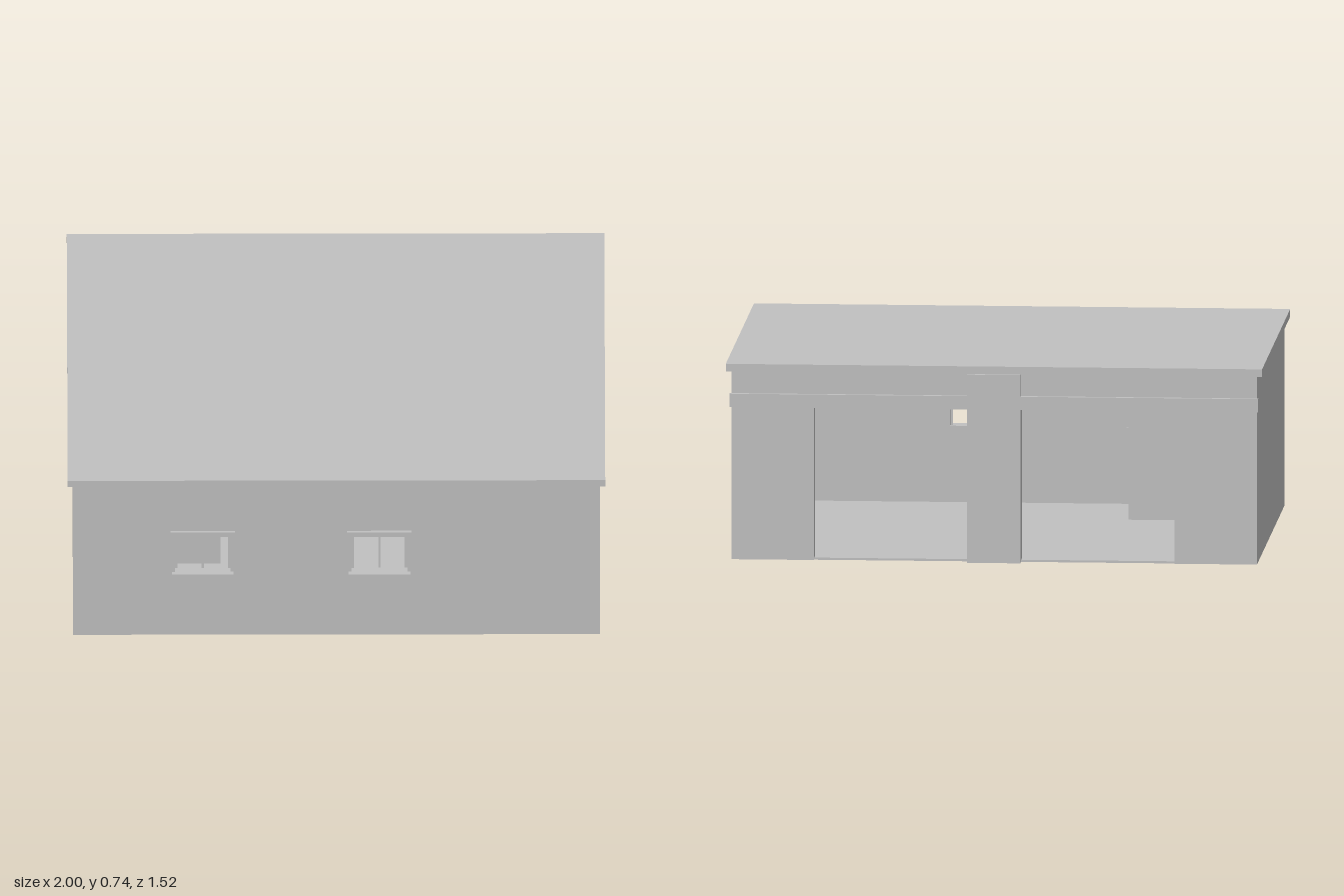
import * as THREE from 'three';

const concrete = new THREE.MeshStandardMaterial({ color: 0xc0c0c0 });
concrete.name = 'plain concrete';

const W = 0.98, FRONT = 0.745, BACK = -0.73, T = 0.05, H = 0.708;

// Box given by its extents along each axis
function box(parent, name, [x0, x1], [y0, y1], [z0, z1]) {
  const mesh = new THREE.Mesh(new THREE.BoxGeometry(x1 - x0, y1 - y0, z1 - z0), concrete);
  mesh.position.set((x0 + x1) / 2, (y0 + y1) / 2, (z0 + z1) / 2);
  mesh.name = name;
  parent.add(mesh);
  return mesh;
}

// Flat wall with rectangular openings, each [a0, a1, y0, y1]
function wall(parent, name, a0, a1, openings) {
  const rect = (C, l, r, b, t) => {
    const p = new C();
    p.moveTo(l, b); p.lineTo(r, b); p.lineTo(r, t); p.lineTo(l, t); p.closePath();
    return p;
  };
  const shape = rect(THREE.Shape, a0, a1, 0, H);
  openings.forEach(o => shape.holes.push(rect(THREE.Path, ...o)));
  const mesh = new THREE.Mesh(
    new THREE.ExtrudeGeometry(shape, { depth: T, bevelEnabled: false }), concrete);
  mesh.name = name;
  parent.add(mesh);
  return mesh;
}

export function createModel() {
  const group = new THREE.Group();
  group.name = 'garage';

  // Floor and overhanging roof slab
  box(group, 'floor', [-W + 0.002, W - 0.002], [0, 0.008], [BACK + 0.008, FRONT - 0.002]);
  box(group, 'roof', [-1, 1], [H, 0.737], [-0.745, 0.765]);

  // Walls
  const windows = [-0.4975, 0.16], halfW = 0.104, sillY = 0.295, headY = 0.465;
  wall(group, 'frontWall', -W, W,
    windows.map(x => [x - halfW, x + halfW, sillY, headY])).position.z = FRONT - T;
  const right = wall(group, 'rightWall', BACK + T, FRONT - T, [[-0.5, -0.3, 0.008, 0.372]]);
  right.rotation.y = -Math.PI / 2;
  right.position.x = -W + T;
  right.name = 'rightSideWall';
  right.position.x = W;
  const left = wall(group, 'leftWall', BACK + T, FRONT - T, []);
  left.rotation.y = -Math.PI / 2;
  left.position.x = -W + T;

  // Back: corner piers, lintel, projecting band and central pillar
  for (const s of [-1, 1]) {
    const span = (a, b) => (s > 0 ? [a, b] : [-b, -a]);
    box(group, 'cornerPier', span(0.672, W), [0, 0.575], [BACK, BACK + T]);
    box(group, 'lintel', span(0.1, W), [0.575, H], [BACK, BACK + T]);
    box(group, 'band', span(0.1, 0.986), [0.575, 0.625], [-0.747, BACK]);
  }
  box(group, 'centralPillar', [-0.1, 0.1], [0, H], [-0.76, BACK + T]);

  // Windows: head, sill, thin frame and mullion
  for (const x of windows) {
    const win = new THREE.Group();
    win.name = 'window';
    win.position.x = x;
    group.add(win);
    box(win, 'windowHead', [-0.12, 0.12], [headY, 0.486], [FRONT - T, 0.755]);
    box(win, 'windowSill', [-0.115, 0.115], [0.283, sillY], [FRONT - T, 0.763]);
    const z = [0.71, 0.722];
    for (const s of [-1, 1]) {
      const c = s * (halfW - 0.005);
      box(win, 'frameSide', [c - 0.005, c + 0.005], [sillY, headY], z);
    }
    box(win, 'mullion', [-0.004, 0.004], [sillY, headY], z);
  }

  // Side door trim
  box(group, 'doorHead', [W - T, 0.989], [0.372, 0.397], [-0.52, -0.28]);
  for (const z of [-0.5, -0.304])
    box(group, 'doorJamb', [W - T, 0.983], [0.008, 0.372], [z, z + 0.004]);

  // Interior partition in the front corner, with a small ledge
  box(group, 'partition', [-W + T, -0.43], [0.008, H], [0.3, 0.325]);
  box(group, 'ledge', [-0.7, -0.53], [0.29, 0.315], [0.325, 0.42]);

  return group;
}
